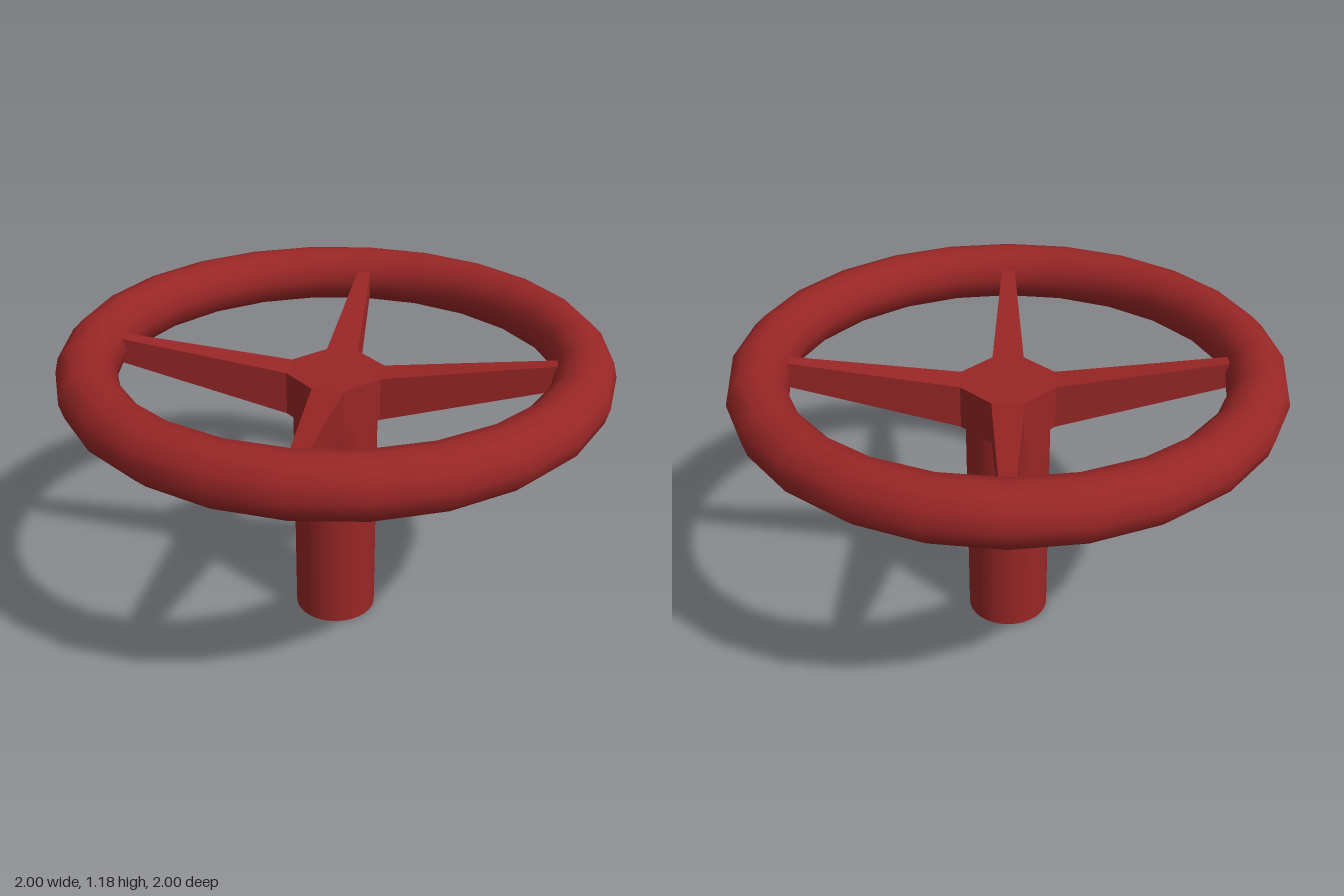
import * as THREE from 'three';

const RED = 0x992626;

export function createModel() {
  const group = new THREE.Group();
  const smooth = new THREE.MeshStandardMaterial({ color: RED });
  const flat = new THREE.MeshStandardMaterial({ color: RED, flatShading: true });
  const add = (name, geometry, material) => {
    const mesh = new THREE.Mesh(geometry, material);
    mesh.name = name;
    group.add(mesh);
    return mesh;
  };

  // Upright stem
  add('stem', new THREE.CylinderGeometry(0.157, 0.157, 0.866, 32).translate(0, 0.433, 0), smooth);

  // Round rim of 24 straight segments
  add('rim', new THREE.TorusGeometry(0.89, 0.108, 12, 24).rotateX(Math.PI / 2).translate(0, 1.07, 0), smooth);

  // Square hub with cut corners
  const a = 0.163, b = 0.08, bottom = 0.866, top = 1.03;
  const outline = [[a, -b], [a, b], [b, a], [-b, a], [-a, b], [-a, -b], [-b, -a], [b, -a]];
  const shape = new THREE.Shape(outline.map(([x, y]) => new THREE.Vector2(x, y)));
  const hub = new THREE.ExtrudeGeometry(shape, { depth: top - bottom, bevelEnabled: false });
  add('hub', hub.rotateX(-Math.PI / 2).translate(0, bottom, 0), flat);

  // Tapered spokes rising from the hub's cut corners into the rim
  const inner = { r: (a + b) / Math.SQRT2, w: (a - b) / Math.SQRT2, low: bottom, high: top };
  const outer = { r: 0.84, w: 0.024, low: 1.025, high: 1.115 };
  const spoke = new THREE.BoxGeometry(1, 1, 1);
  const p = spoke.attributes.position;
  for (let i = 0; i < p.count; i++) {
    const end = p.getX(i) > 0 ? outer : inner;
    p.setXYZ(i, end.r, p.getY(i) > 0 ? end.high : end.low, Math.sign(p.getZ(i)) * end.w);
  }
  spoke.computeVertexNormals();
  for (let i = 0; i < 4; i++) {
    add('spoke' + (i + 1), spoke, flat).rotation.y = Math.PI / 4 + i * Math.PI / 2;
  }
  return group;
}
